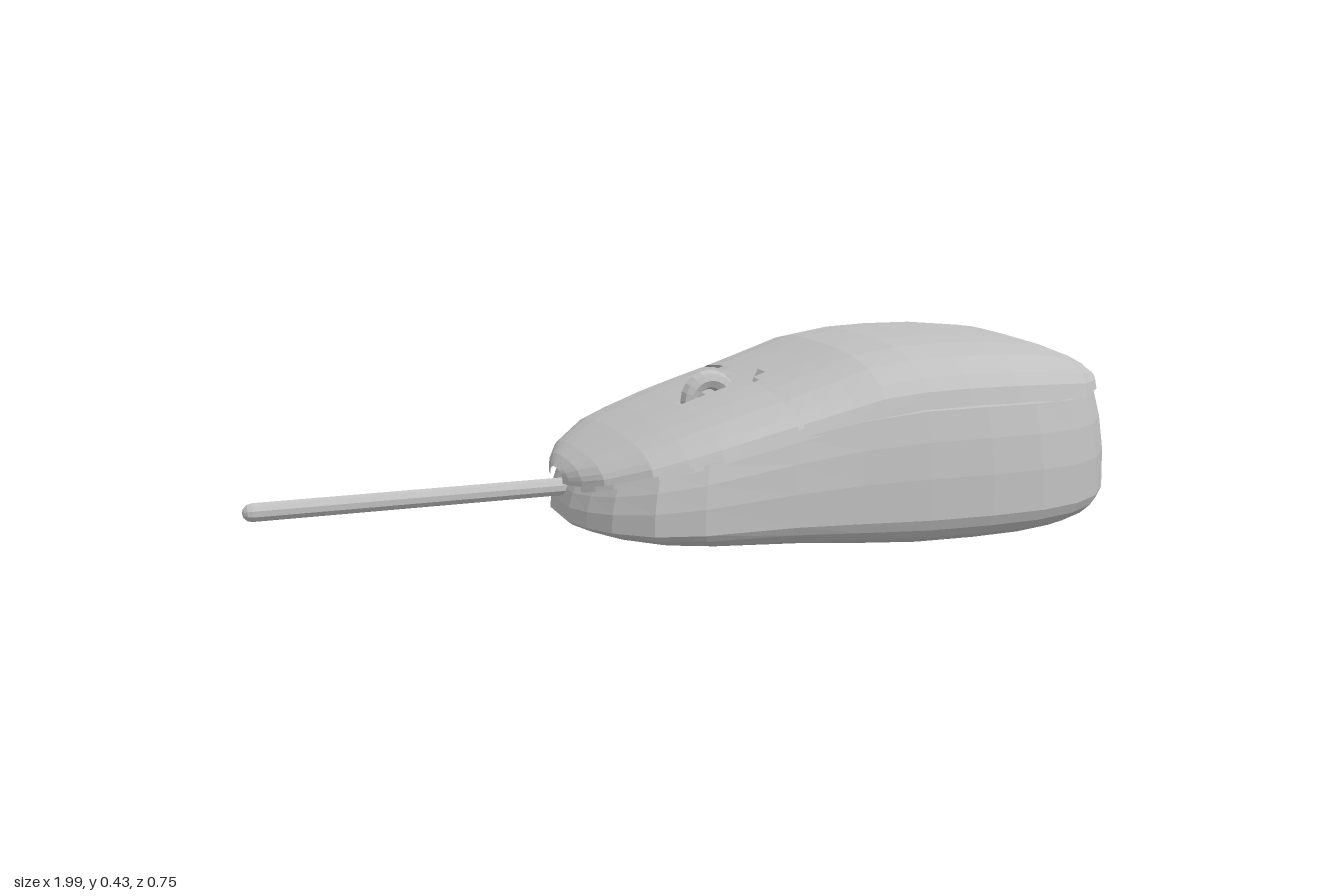
import * as THREE from 'three';

// Piecewise-linear profile through [x, value] points
const profile = (pts) => (x) => {
  if (x <= pts[0][0]) return pts[0][1];
  for (let i = 1; i < pts.length; i++) {
    const [x0, v0] = pts[i - 1], [x1, v1] = pts[i];
    if (x <= x1) return v0 + (v1 - v0) * (x - x0) / (x1 - x0);
  }
  return pts[pts.length - 1][1];
};

const seamY = profile([[-0.33, 0.145], [-0.28, 0.168], [-0.2, 0.197], [0, 0.245], [0.11, 0.27],
  [0.3, 0.308], [0.45, 0.318], [0.7, 0.314], [0.85, 0.306], [0.97, 0.318]]);
const topY = profile([[-0.33, 0.17], [-0.31, 0.19], [-0.28, 0.208], [-0.2, 0.247], [-0.1, 0.286],
  [0, 0.318], [0.11, 0.35], [0.2, 0.38], [0.3, 0.415], [0.4, 0.431], [0.5, 0.434], [0.62, 0.432],
  [0.75, 0.419], [0.87, 0.383], [0.94, 0.345], [0.968, 0.322]]);
const baseY = profile([[-0.33, 0.044], [0.1, 0.03], [0.35, 0.012], [1, 0.01]]);
const shellWidth = profile([[-0.33, 0.05], [-0.325, 0.08], [-0.31, 0.13], [-0.28, 0.195], [-0.2, 0.275],
  [-0.1, 0.313], [0.1, 0.332], [0.3, 0.345], [0.45, 0.354], [0.55, 0.357], [0.65, 0.354],
  [0.75, 0.337], [0.83, 0.295], [0.89, 0.24], [0.94, 0.16], [0.968, 0.06]]);

// Skin a grid of points; skip(i, j) leaves a cell open
function skin(rows, skip = () => false) {
  const cols = rows[0].length, index = [];
  for (let i = 0; i < rows.length - 1; i++) {
    for (let j = 0; j < cols - 1; j++) {
      if (skip(i, j)) continue;
      const a = i * cols + j, b = a + cols;
      index.push(a, a + 1, b, b, a + 1, b + 1);
    }
  }
  const g = new THREE.BufferGeometry();
  g.setAttribute('position', new THREE.Float32BufferAttribute(rows.flat(2), 3));
  g.setIndex(index);
  g.computeVertexNormals();
  return g;
}

export function createModel() {
  const group = new THREE.Group();
  const grey = new THREE.MeshStandardMaterial({ color: 0xc0c0c0, flatShading: true, side: THREE.DoubleSide });
  grey.name = 'grey plastic';
  const add = (name, geometry, x = 0, y = 0, z = 0) => {
    const mesh = new THREE.Mesh(geometry, grey);
    mesh.name = name;
    mesh.position.set(x, y, z);
    group.add(mesh);
    return mesh;
  };

  // Lower body: one plan outline, stacked in inset rings from the underside to the seam
  const side = [[-0.325, 0.07], [-0.305, 0.14], [-0.27, 0.21], [-0.2, 0.283], [-0.1, 0.318], [0.1, 0.337],
    [0.25, 0.35], [0.4, 0.367], [0.55, 0.375], [0.68, 0.367], [0.79, 0.335], [0.87, 0.285], [0.93, 0.22],
    [0.97, 0.145], [0.993, 0.07]];
  const outline = [...side, ...side.slice().reverse().map(([x, z]) => [x, -z]), side[0]];
  const cx = 0.33;
  // [inset, share of the wall height, extra lift]
  const levels = [[0.374, 0, 0.004], [0.2, 0, 0.003], [0.082, 0, 0], [0.08, 0, 0.007], [0.072, 0, 0.007],
    [0.07, 0, 0], [0.058, 0, 0], [0.03, 0.05, 0], [0.01, 0.12, 0], [0, 0.2, 0], [0.002, 0.5, 0],
    [0.012, 0.76, 0], [0.027, 0.975, 0], [0.045, 0.985, 0]];
  add('lowerBody', skin(levels.map(([d, f, lift]) => outline.map(([px, pz]) => {
    const x = cx + (px - cx) * (1 - d / 0.66), z = pz * (1 - d / 0.375);
    const b = baseY(x);
    return [x, b + f * (seamY(x) - b) + lift, z];
  }))));

  // Top shell: arched sections along x, with openings for button gaps and wheel slot
  const stations = [-0.33, -0.325, -0.31, -0.28, -0.2, -0.13, -0.06, -0.02, 0.03, 0.07, 0.104, 0.117, 0.16,
    0.23, 0.3, 0.4, 0.5, 0.62, 0.75, 0.83, 0.89, 0.94, 0.968];
  const half = [0.014, 0.08, 0.135, 0.28, 0.5, 0.73, 0.9, 0.97, 1];
  const across = [...half.slice().reverse().map((u) => -u), ...half];
  const section = (x, scale, drop) => across.map((u) => {
    const s = seamY(x), inSlot = Math.abs(u) < 0.1 && x > -0.045 && x < 0.14;
    const y = s + (topY(x) - s) * Math.sqrt(1 - Math.abs(u) ** 3);
    return [x, y - drop - (drop && inSlot ? 0.05 : 0), u * shellWidth(x) * scale];
  });
  const isOpen = (i, j) => {
    const x = (stations[i] + stations[i + 1]) / 2, u = Math.abs(across[j] + across[j + 1]) / 2;
    const slot = u < 0.135 && x > -0.06 && x < 0.16;
    const crossGap = x > 0.104 && x < 0.117;
    const buttonGap = u < 0.01 && x < -0.13;
    return slot || crossGap || buttonGap;
  };
  add('topShell', skin(stations.map((x) => section(x, 1, 0)), isOpen));

  // Inner shell: floor of the gaps and the wheel well
  add('innerShell', skin(stations.map((x) => section(cx + (x - cx) * 0.97, 0.95, 0.014))));

  // Scroll wheel
  add('scrollWheel', new THREE.TorusGeometry(0.045, 0.022, 8, 20), 0.027, 0.3, 0);
  const axle = add('wheelAxle', new THREE.CylinderGeometry(0.014, 0.014, 0.09, 10), 0.027, 0.3, 0);
  axle.rotation.x = Math.PI / 2;

  // Tracking ball under the base
  const ball = add('trackingBall', new THREE.SphereGeometry(0.08, 20, 12), 0.33, 0.015, 0);
  ball.scale.y = 0.19;

  // Cable
  const cable = add('cable', new THREE.CapsuleGeometry(0.02, 0.7, 3, 10), -0.63, 0.127, 0);
  cable.rotation.z = Math.PI / 2;

  return group;
}
